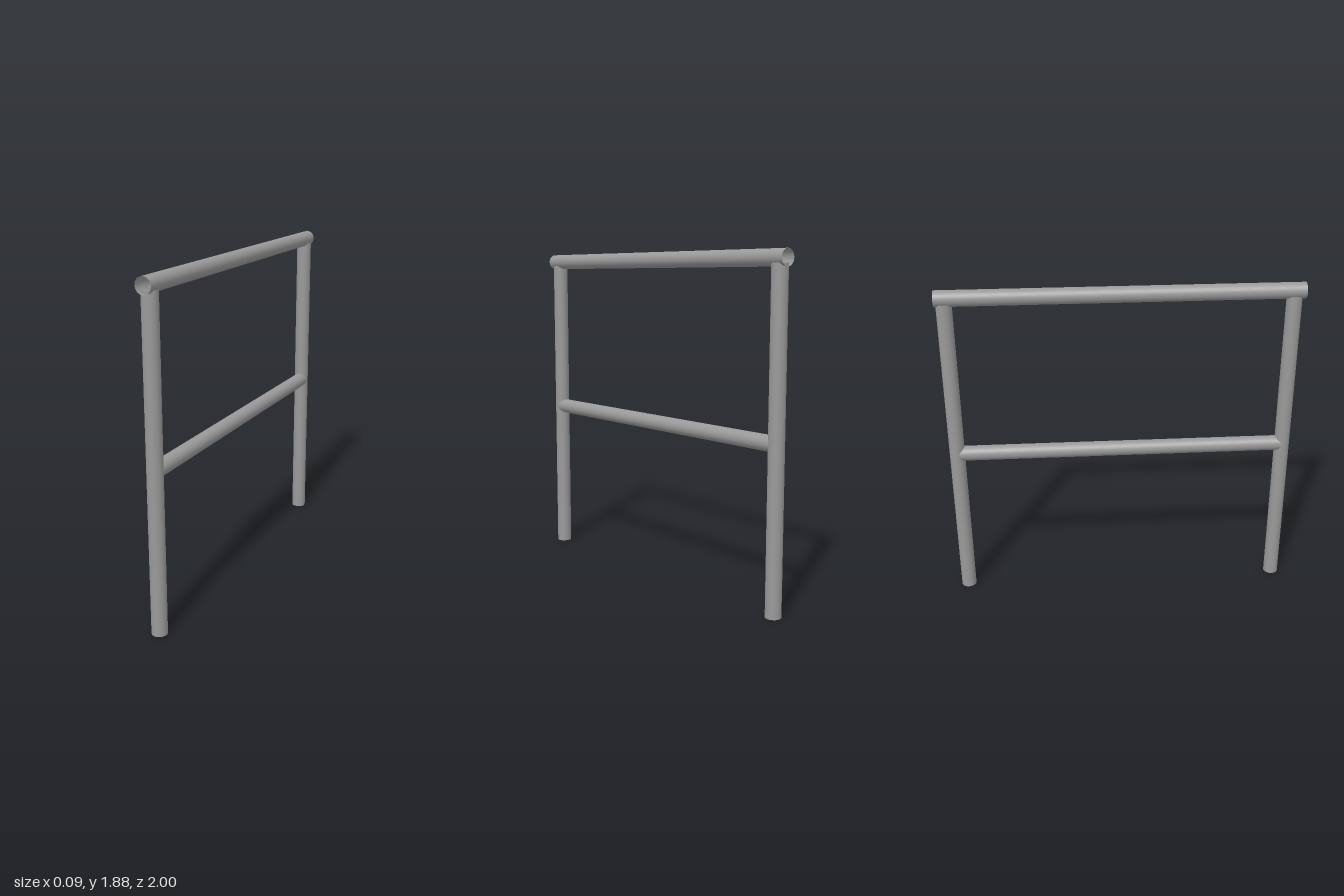
import * as THREE from 'three';

const material = new THREE.MeshStandardMaterial({ color: 0x999999, side: THREE.DoubleSide });

// Open-ended thin pipe between two points
function pipe(name, radius, from, to) {
  const a = new THREE.Vector3(...from), b = new THREE.Vector3(...to);
  const axis = b.clone().sub(a);
  const geometry = new THREE.CylinderGeometry(radius, radius, axis.length(), 32, 1, true);
  const mesh = new THREE.Mesh(geometry, material);
  mesh.name = name;
  mesh.position.copy(a).add(b).multiplyScalar(0.5);
  mesh.quaternion.setFromUnitVectors(new THREE.Vector3(0, 1, 0), axis.normalize());
  return mesh;
}

export function createModel() {
  const railing = new THREE.Group();
  railing.name = 'railing';

  // Upright posts, their tops tucked into the handrail
  railing.add(pipe('frontPost', 0.0432, [0, 0, 0.941], [0, 1.81, 0.941]));
  railing.add(pipe('backPost', 0.0432, [0, 0, -0.949], [0, 1.81, -0.949]));

  // Handrail overhanging both posts
  railing.add(pipe('handrail', 0.0445, [0, 1.835, -1], [0, 1.835, 1]));

  // Middle rail running into the posts
  railing.add(pipe('middleRail', 0.0432, [0, 0.907, -0.934], [0, 0.907, 0.93]));

  return railing;
}
